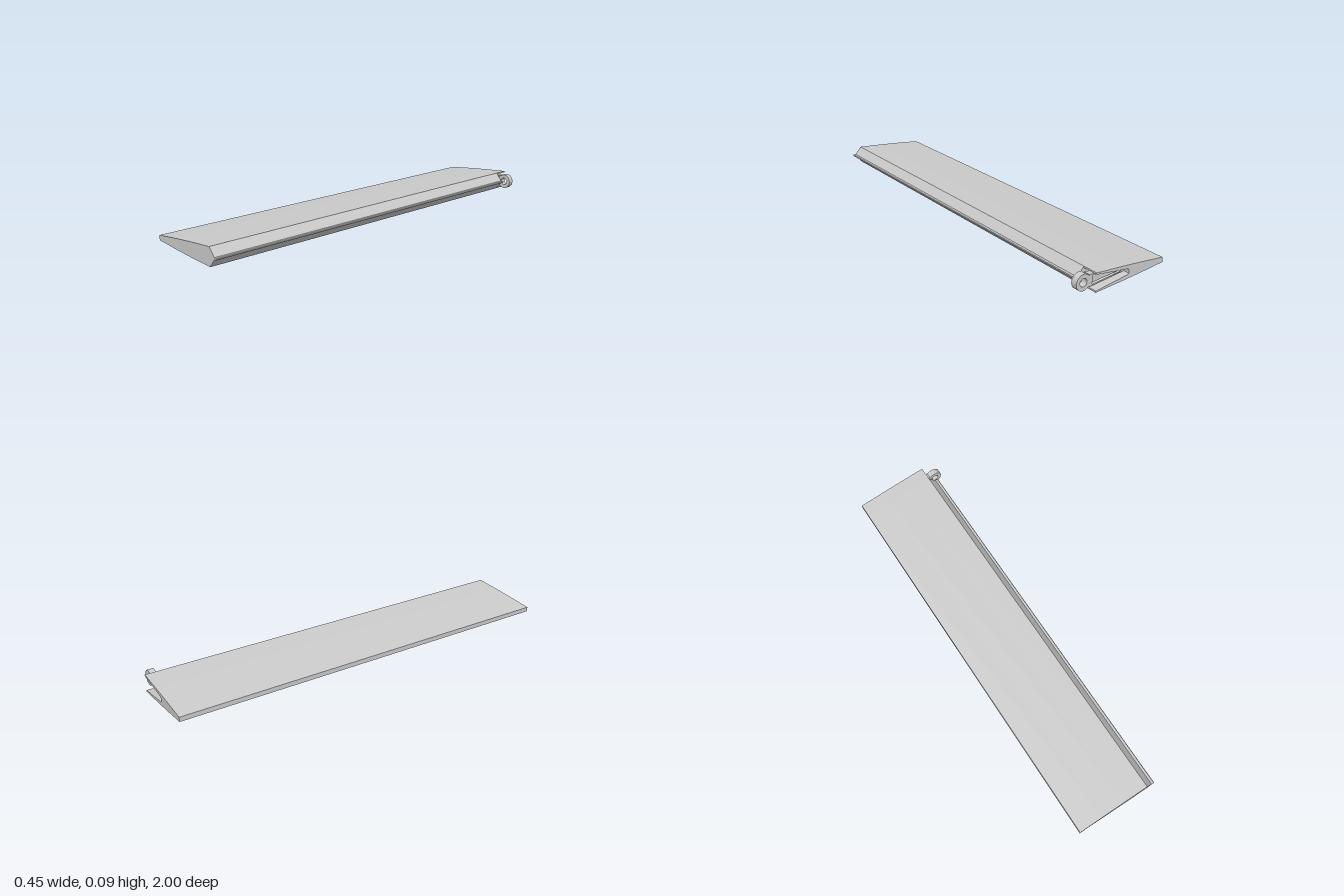
import * as THREE from 'three';

const MID = 0.0455; // height of the symmetry plane
const material = new THREE.MeshStandardMaterial({ color: 0xcccccc, flatShading: true });

// Mirrors an upper half profile [x, half height] about the middle plane.
function mirrored(half) {
  const up = half.map(([x, h]) => new THREE.Vector2(x, MID + h));
  const down = half.filter(([, h]) => h > 0).map(([x, h]) => new THREE.Vector2(x, MID - h)).reverse();
  return [...up, ...down];
}

// Extrudes a shape from z0 to z1.
function slab(name, shape, z0, z1) {
  const geometry = new THREE.ExtrudeGeometry(shape, { depth: z1 - z0, bevelEnabled: false, curveSegments: 8 });
  geometry.translate(0, 0, z0);
  const mesh = new THREE.Mesh(geometry, material);
  mesh.name = name;
  return mesh;
}

function circlePoints(x, r, n) {
  return Array.from({ length: n }, (_, i) => {
    const a = (i / n) * Math.PI * 2;
    return new THREE.Vector2(x + r * Math.cos(a), MID + r * Math.sin(a));
  });
}

export function createModel() {
  const model = new THREE.Group();
  model.name = 'hingedFlap';
  const pocketZ = -0.925;

  // Gently bulging skin from the thin edge to the shoulder
  const skin = [[-0.225, 0.0115], [-0.1, 0.0243], [0.02, 0.0346], [0.147, 0.0435]];

  // Main body with bevelled nose and a narrow lip
  const nose = [[0.18, 0.0045], [0.192, 0.0045], [0.195, 0.002]];
  model.add(slab('flapBody', new THREE.Shape(mirrored([...skin, ...nose])), pocketZ, 1));

  // End section, hollowed by a tapered pocket that opens at the nose
  const pocket = [[0.147, 0.036], [-0.025, 0.013], [-0.031, 0.008]];
  model.add(slab('pocketEnd', new THREE.Shape(mirrored([...skin, ...pocket])), -1, pocketZ));

  // Tapered hinge arm: a rim around a recessed web
  const arm = new THREE.Group();
  arm.name = 'hingeArm';
  const rim = new THREE.Shape(mirrored([[-0.031, 0.005], [-0.025, 0.0095], [0.158, 0.028]]));
  const recess = mirrored([[-0.015, 0.005], [0.14, 0.019]]);
  rim.holes.push(new THREE.Path(recess));
  arm.add(slab('armRim', rim, -0.97, -0.94));
  arm.add(slab('armWeb', new THREE.Shape(recess), -0.961, -0.949));

  // Hinge eye
  const eye = new THREE.Shape(circlePoints(0.187, 0.0375, 16));
  eye.holes.push(new THREE.Path(circlePoints(0.187, 0.0185, 16)));
  arm.add(slab('hingeEye', eye, -0.97, -0.94));
  model.add(arm);

  return model;
}
